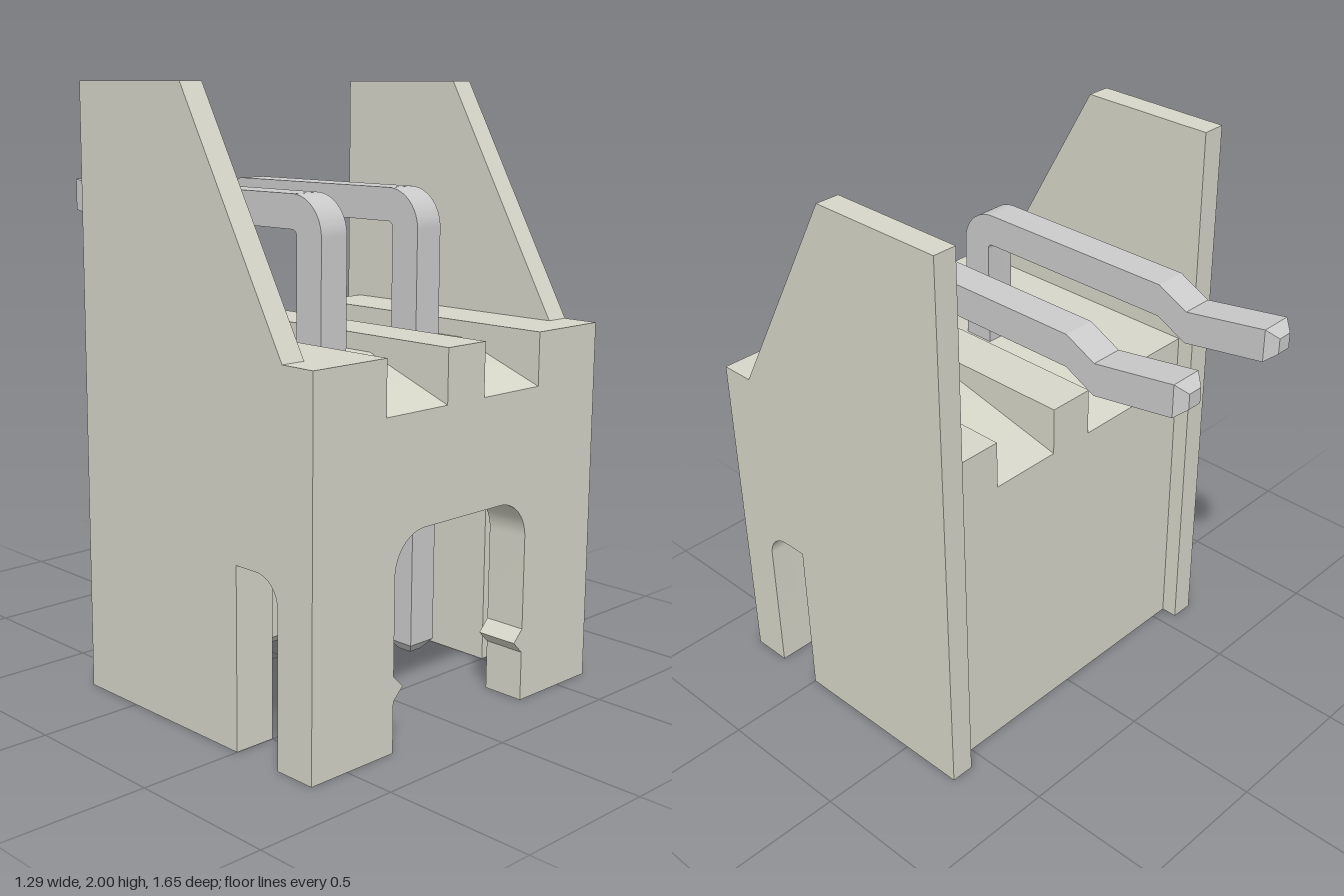
import * as THREE from 'three';
import { toCreasedNormals } from 'three/addons/utils/BufferGeometryUtils.js';

const housingMat = new THREE.MeshStandardMaterial({ color: 0xd6d6c9 });
const pinMat = new THREE.MeshStandardMaterial({ color: 0xcccccc });

function add(parent, name, geometry, material) {
  const mesh = new THREE.Mesh(geometry, material);
  mesh.name = name;
  parent.add(mesh);
  return mesh;
}

const polygon = (pts) => new THREE.Shape(pts.map(([a, b]) => new THREE.Vector2(a, b)));

// Extrude a (z, y) profile along x, from x0 to x1
function alongX(shape, x0, x1) {
  const geo = new THREE.ExtrudeGeometry(shape, { depth: x1 - x0, bevelEnabled: false, curveSegments: 10 });
  geo.rotateY(-Math.PI / 2);
  geo.translate(x1, 0, 0);
  return toCreasedNormals(geo, 0.4);
}

// Start of a side profile: bottom edge and the latch slot with one rounded corner
function slottedProfile(zBack) {
  const s = new THREE.Shape();
  s.moveTo(zBack, 0);
  s.lineTo(0.5, 0);
  s.lineTo(0.5, 0.59);
  s.lineTo(0.59, 0.59);
  s.absarc(0.59, 0.5, 0.09, Math.PI / 2, 0, true);
  return s;
}

// Short four-sided taper at a pin end, narrowing towards +y
function tipGeometry(length) {
  const geo = new THREE.CylinderGeometry(0.026 * Math.SQRT2, 0.055 * Math.SQRT2, length, 4).toNonIndexed();
  geo.rotateY(Math.PI / 4);
  geo.computeVertexNormals();
  return geo;
}

function createPin(x) {
  const pin = new THREE.Group();
  pin.name = 'pin';
  // Vertical leg, rounded elbow, horizontal run with a downward kink
  const s = new THREE.Shape();
  s.moveTo(0.36, 0.125);
  s.lineTo(0.47, 0.125);
  s.lineTo(0.47, 1.53);
  s.absarc(0.34, 1.53, 0.13, 0, Math.PI / 2, false);
  s.lineTo(-0.39, 1.66);
  s.lineTo(-0.5, 1.605);
  s.lineTo(-0.795, 1.655);
  s.lineTo(-0.795, 1.545);
  s.lineTo(-0.5, 1.495);
  s.lineTo(-0.39, 1.55);
  s.lineTo(0.34, 1.55);
  s.absarc(0.34, 1.53, 0.02, Math.PI / 2, 0, true);
  add(pin, 'pinShaft', alongX(s, -0.055, 0.055), pinMat);

  const lower = add(pin, 'pinLowerTip', tipGeometry(0.035), pinMat);
  lower.rotation.x = Math.PI;
  lower.position.set(0, 0.1075, 0.415);
  const rear = add(pin, 'pinRearTip', tipGeometry(0.035), pinMat);
  rear.rotation.x = -Math.PI / 2;
  rear.position.set(0, 1.6, -0.8125);
  pin.position.x = x;
  return pin;
}

export function createModel() {
  const model = new THREE.Group();
  model.name = 'pinHeader';
  const housing = new THREE.Group();
  housing.name = 'housing';
  model.add(housing);

  const roof = 0.8; // underside of the solid upper block
  const inner = 0.5; // half width of the cavity

  // Tall side plates
  const plate = slottedProfile(-0.235);
  [[0.68, 0], [0.825, 0], [0.825, 1.22], [0.7, 1.22], [0.26, 2], [-0.235, 2]]
    .forEach(([z, y]) => plate.lineTo(z, y));
  // Thickening of the cavity side walls
  const lining = slottedProfile(-0.1);
  lining.lineTo(0.68, roof);
  lining.lineTo(-0.1, roof);
  for (const side of [-1, 1]) {
    const range = (a, b) => (side > 0 ? [a, b] : [-b, -a]);
    add(housing, 'sidePlate', alongX(plate, ...range(0.56, 0.645)), housingMat);
    add(housing, 'cavitySideWall', alongX(lining, ...range(inner, 0.56)), housingMat);
  }

  // Front wall with arched opening and small snap ridges on the jambs
  const front = new THREE.Shape();
  front.moveTo(-0.56, 0);
  front.lineTo(-0.305, 0);
  front.lineTo(-0.305, 0.165);
  front.lineTo(-0.265, 0.205);
  front.lineTo(-0.305, 0.245);
  front.lineTo(-0.305, 0.555);
  front.absarc(-0.175, 0.555, 0.13, Math.PI, Math.PI / 2, true);
  front.lineTo(0.175, 0.685);
  front.absarc(0.175, 0.555, 0.13, Math.PI / 2, 0, true);
  [[0.305, 0.245], [0.265, 0.205], [0.305, 0.165], [0.305, 0], [0.56, 0], [0.56, roof], [-0.56, roof]]
    .forEach(([x, y]) => front.lineTo(x, y));
  const frontGeo = new THREE.ExtrudeGeometry(front, { depth: 0.145, bevelEnabled: false, curveSegments: 10 });
  frontGeo.translate(0, 0, 0.68);
  add(housing, 'frontWall', toCreasedNormals(frontGeo, 0.4), housingMat);

  // Back wall, chamfered along its inner bottom edge
  const back = polygon([[-0.175, 0], [-0.125, 0], [-0.09, 0.035], [-0.09, roof], [-0.175, roof]]);
  add(housing, 'backWall', alongX(back, -0.56, 0.56), housingMat);

  // Upper block: plain ribs alternating with pin channels that slope to front and back
  const rib = polygon([[-0.175, roof], [0.825, roof], [0.825, 1.22], [-0.175, 1.22]]);
  const channel = polygon([
    [-0.175, roof], [0.825, roof], [0.825, 1.045], [0.5, 1.165], [0.33, 1.165], [-0.175, 1.05],
  ]);
  const edges = [-0.56, -0.35, -0.085, 0.085, 0.35, 0.56];
  for (let i = 0; i < 5; i++) {
    const isChannel = i % 2 === 1;
    add(housing, isChannel ? 'pinChannel' : 'topRib',
      alongX(isChannel ? channel : rib, edges[i], edges[i + 1]), housingMat);
  }

  // Pair of bent contact pins
  for (const x of [-0.215, 0.215]) model.add(createPin(x));

  return model;
}
